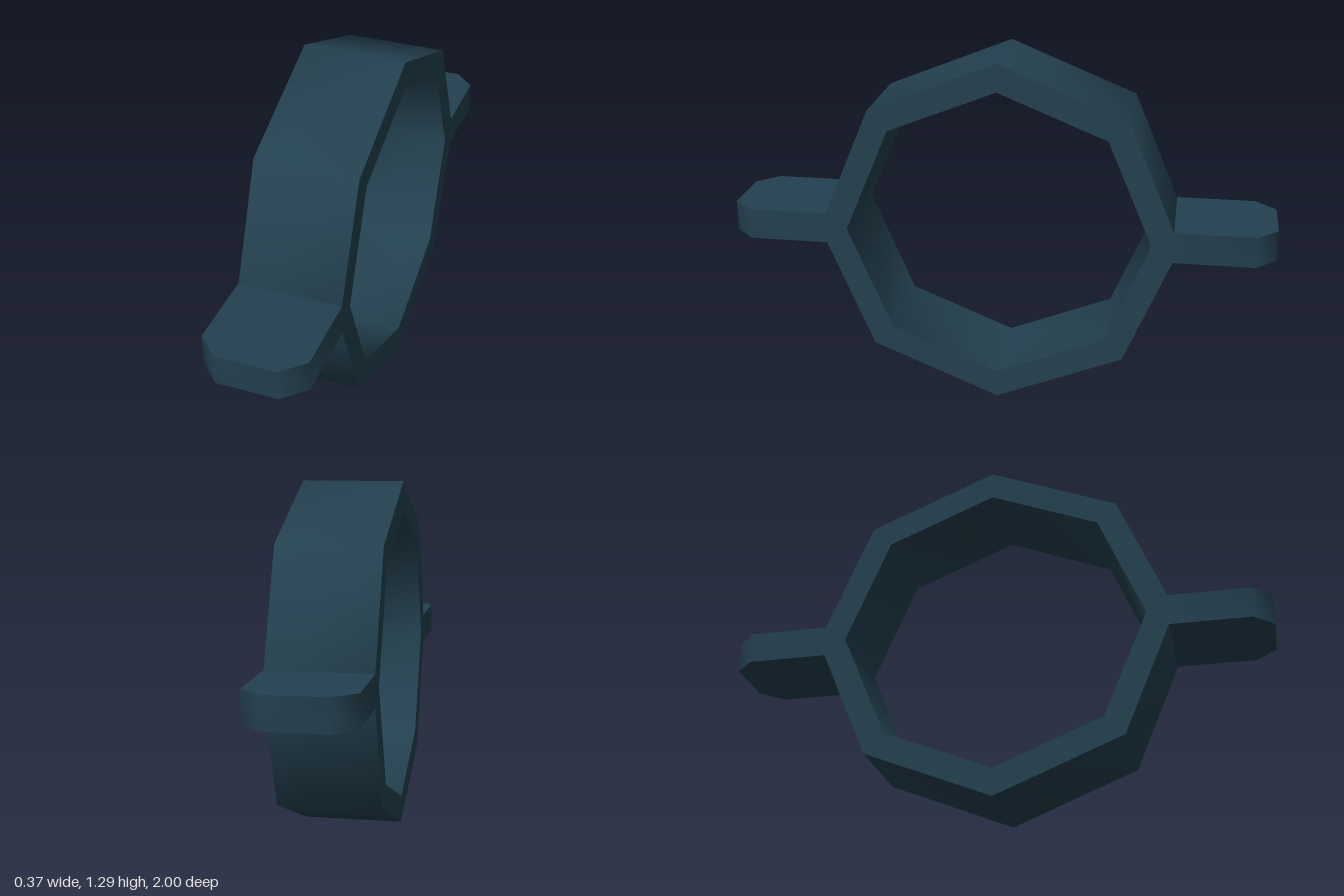
import * as THREE from 'three';
import { toCreasedNormals } from 'three/addons/utils/BufferGeometryUtils.js';

const HALF_WIDTH = 0.186, CENTRE_Y = 0.644;

// Extrudes a shape by the given depth, centred, with 45-degree bends shaded smoothly
function slab(shape, depth) {
  const geometry = new THREE.ExtrudeGeometry(shape, { depth, bevelEnabled: false });
  geometry.translate(0, 0, -depth / 2);
  return toCreasedNormals(geometry, THREE.MathUtils.degToRad(50));
}

// Eight corners, slightly wider than tall
function octagon(rx, ry) {
  return Array.from({ length: 8 }, (_, i) => {
    const a = i * Math.PI / 4;
    return new THREE.Vector2(rx * Math.cos(a), ry * Math.sin(a));
  });
}

export function createModel() {
  const group = new THREE.Group();
  group.name = 'ringClamp';
  const material = new THREE.MeshStandardMaterial({ color: 0x23404f });

  // Octagonal band with its axis along x
  const band = new THREE.Shape(octagon(0.658, 0.644));
  band.holes.push(new THREE.Path(octagon(0.557, 0.542)));
  const ring = new THREE.Mesh(slab(band, HALF_WIDTH * 2), material);
  ring.name = 'ring';
  ring.rotation.y = Math.PI / 2;
  ring.position.y = CENTRE_Y;
  group.add(ring);

  // Flat tab with chamfered outer corners, starting inside the band wall
  const outline = new THREE.Shape([
    [-HALF_WIDTH, 0.634], [HALF_WIDTH, 0.634], [HALF_WIDTH, 0.925],
    [0.11, 1], [-0.11, 1], [-HALF_WIDTH, 0.925],
  ].map(([x, z]) => new THREE.Vector2(x, z)));
  const tabGeometry = slab(outline, 0.114).rotateX(Math.PI / 2);

  // One tab at the front, one at the back
  for (const [name, angle] of [['frontTab', 0], ['backTab', Math.PI]]) {
    const tab = new THREE.Mesh(tabGeometry, material);
    tab.name = name;
    tab.rotation.y = angle;
    tab.position.y = CENTRE_Y;
    group.add(tab);
  }
  return group;
}
